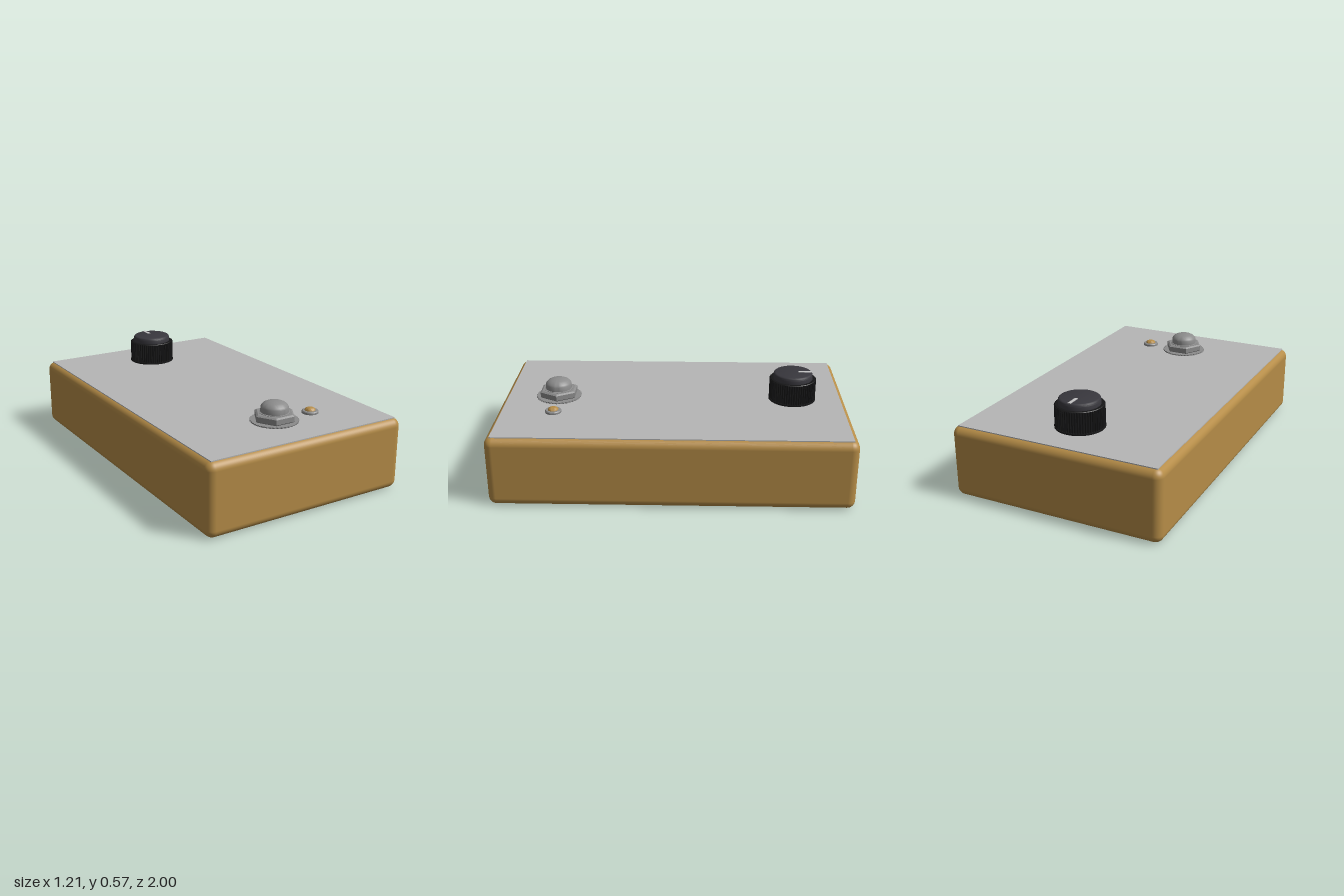
import * as THREE from 'three';
import { toCreasedNormals } from 'three/addons/utils/BufferGeometryUtils.js';
import { RoundedBoxGeometry } from 'three/addons/geometries/RoundedBoxGeometry.js';

function mat(name, color) {
  const m = new THREE.MeshStandardMaterial({ color });
  m.name = name;
  return m;
}

export function createModel() {
  const gold = mat('gold paint', 0xb58c47);
  const plateGrey = mat('plate grey', 0xb6b6b6);
  const steel = mat('steel', 0x8c8c8c);
  const black = mat('black plastic', 0x161617);
  const charcoal = mat('charcoal cap', 0x38373d);
  const pale = mat('pale marker', 0xc4c4c4);

  const root = new THREE.Group();
  root.name = 'effectPedal';
  const TOP = 0.4;

  function add(parent, name, geometry, material, x = 0, y = 0, z = 0) {
    const mesh = new THREE.Mesh(geometry, material);
    mesh.name = name;
    mesh.position.set(x, y, z);
    parent.add(mesh);
    return mesh;
  }
  function group(name, x, z) {
    const g = new THREE.Group();
    g.name = name;
    g.position.set(x, TOP, z);
    root.add(g);
    return g;
  }
  // Turned part from [radius, height] pairs, bottom to top
  function turned(points, sides = 48, crease = 0.55) {
    const profile = points.map(([r, y]) => new THREE.Vector2(r, y));
    return toCreasedNormals(new THREE.LatheGeometry(profile, sides), crease);
  }
  // Upright disc with small teeth round its rim
  function toothed(inner, outer, teeth, height) {
    const shape = new THREE.Shape();
    for (let i = 0; i < teeth * 4; i++) {
      const a = (i / (teeth * 4)) * Math.PI * 2;
      const r = i % 4 < 2 ? outer : inner;
      if (i === 0) shape.moveTo(r, 0);
      else shape.lineTo(r * Math.cos(a), r * Math.sin(a));
    }
    shape.closePath();
    const geo = new THREE.ExtrudeGeometry(shape, { depth: height, bevelEnabled: false });
    return geo.rotateX(-Math.PI / 2);
  }

  // Enclosure and face plate
  add(root, 'enclosure', new RoundedBoxGeometry(1.21, TOP, 2, 6, 0.045), gold, 0, TOP / 2, 0);
  add(root, 'facePlate', new THREE.BoxGeometry(1.15, 0.006, 1.94), plateGrey, 0, TOP, 0);

  // Control knob: skirt, knurled grip, rounded cap and pointer line
  const knob = group('controlKnob', 0, -0.69);
  add(knob, 'knobSkirt', turned([[0, 0], [0.136, 0], [0.136, 0.012], [0.125, 0.014]]), black);
  add(knob, 'knobGrip', toothed(0.128, 0.134, 60, 0.115), black, 0, 0.012, 0);
  add(knob, 'knobShoulder', turned([[0.13, 0.127], [0.127, 0.13], [0, 0.13]]), black);
  add(knob, 'knobCap', turned([
    [0.113, 0.128], [0.113, 0.152], [0.111, 0.159], [0.106, 0.164], [0.1, 0.166], [0, 0.166],
  ]), charcoal);
  add(knob, 'knobPointer', new THREE.BoxGeometry(0.018, 0.003, 0.075), pale, 0, 0.1665, -0.068);

  // Foot switch: serrated washer, hex nut, collar and domed button
  const foot = group('footSwitch', 0, 0.675);
  add(foot, 'switchWasher', toothed(0.127, 0.131, 40, 0.01), steel);
  const nut = turned([
    [0, 0.008], [0.105, 0.008], [0.115, 0.016], [0.115, 0.044], [0.104, 0.051], [0, 0.051],
  ], 6, 0.2);
  add(foot, 'hexNut', nut, steel).rotation.y = Math.PI / 6;
  add(foot, 'switchCollar', turned([[0.082, 0.05], [0.082, 0.053], [0.074, 0.055]]), steel);
  add(foot, 'switchButton', turned([
    [0.075, 0.05], [0.075, 0.081], [0.07, 0.09], [0.06, 0.1], [0.046, 0.107], [0.028, 0.112], [0, 0.114],
  ]), steel);

  // Indicator lamp in its metal bezel
  const lamp = group('indicatorLamp', 0.237, 0.675);
  add(lamp, 'lampBezel', turned([
    [0, 0], [0.046, 0], [0.046, 0.013], [0.042, 0.018], [0, 0.018],
  ], 32), steel);
  add(lamp, 'lampLens', turned([
    [0.03, 0.017], [0.029, 0.022], [0.024, 0.028], [0.014, 0.033], [0, 0.035],
  ], 32, 0.8), gold);

  return root;
}
